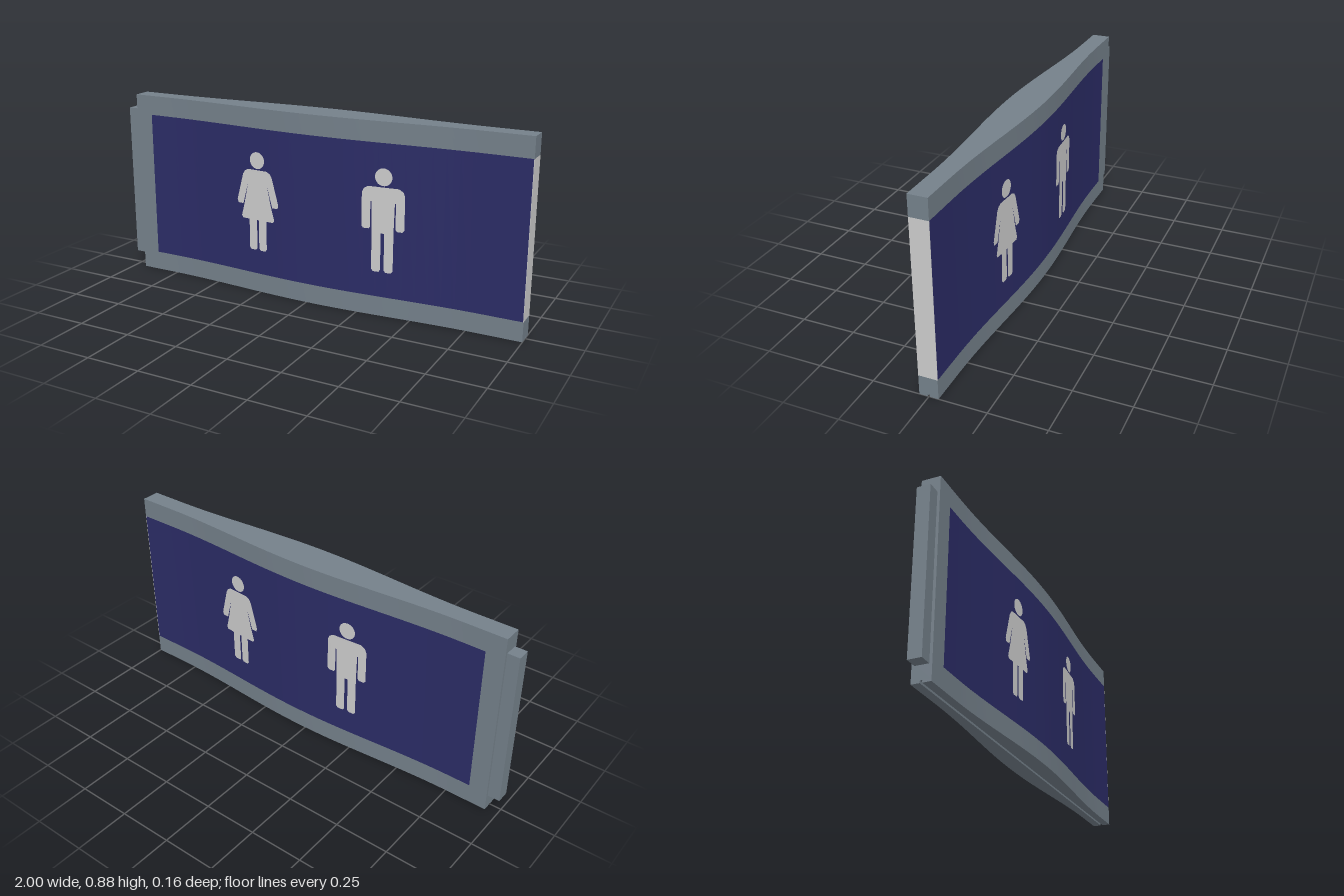
import * as THREE from 'three';
import { toCreasedNormals } from 'three/addons/utils/BufferGeometryUtils.js';

const X0 = -0.945, X1 = 1, H = 0.877;   // sign body extents
const PANEL_X = -0.86, PANEL_Y0 = 0.09, PANEL_Y1 = 0.785;

// half thickness of the body: flat at the ends, bulging in the middle
function halfDepth(x) {
  const u = Math.min(1, Math.abs(x - 0.0275) / 0.8);
  return 0.042 + 0.038 * (0.5 + 0.5 * Math.cos(Math.PI * u));
}

// vertical slab following the bulged outline between two lines of x
function slabGeometry(x0, x1, y0, y1, inner = null) {
  const n = Math.max(2, Math.round((x1 - x0) / 0.06));
  const front = [], back = [];
  for (let i = 0; i <= n; i++) {
    const x = x0 + (x1 - x0) * i / n;
    front.push(new THREE.Vector2(x, halfDepth(x)));
    back.unshift(new THREE.Vector2(x, inner === null ? -halfDepth(x) : inner));
  }
  const geo = new THREE.ExtrudeGeometry(new THREE.Shape([...front, ...back]),
    { depth: y1 - y0, bevelEnabled: false });
  geo.rotateX(-Math.PI / 2).translate(0, y0, 0);
  return toCreasedNormals(geo, 0.5);
}

// symmetric pictogram outline from its right half
function mirrored(half) {
  const pts = half.map(([x, y]) => new THREE.Vector2(x, y));
  const left = half.filter(([x]) => x > 0).reverse().map(([x, y]) => new THREE.Vector2(-x, y));
  return new THREE.Shape([...pts, ...left]);
}

const WOMAN = mirrored([[0, 0.592], [0.05, 0.592], [0.068, 0.583], [0.079, 0.565], [0.113, 0.44],
  [0.108, 0.424], [0.08, 0.424], [0.052, 0.525], [0.074, 0.424], [0.09, 0.365], [0.083, 0.354],
  [0.047, 0.354], [0.047, 0.217], [0.039, 0.207], [0.013, 0.207], [0.005, 0.217], [0.005, 0.354], [0, 0.354]]);
const MAN = mirrored([[0, 0.592], [0.07, 0.592], [0.09, 0.58], [0.098, 0.56], [0.098, 0.41],
  [0.09, 0.401], [0.065, 0.401], [0.058, 0.41], [0.058, 0.525], [0.053, 0.525], [0.05, 0.4],
  [0.05, 0.217], [0.041, 0.207], [0.016, 0.207], [0.008, 0.217], [0.008, 0.385], [0, 0.385]]);
const HEAD = new THREE.Shape().absarc(0, 0.637, 0.039, 0, Math.PI * 2);

// pictogram laid on the curved face; side is 1 for front, -1 for back
function figure(name, body, cx, side, material) {
  const group = new THREE.Group();
  group.name = name;
  for (const [part, shape] of [['head', HEAD], ['body', body]]) {
    const geo = new THREE.ShapeGeometry(shape, 20);
    if (side < 0) geo.rotateY(Math.PI);
    geo.translate(cx, 0, 0);
    const p = geo.attributes.position;
    for (let i = 0; i < p.count; i++) p.setZ(i, side * (halfDepth(p.getX(i)) + 0.003));
    geo.computeVertexNormals();
    const mesh = new THREE.Mesh(geo, material);
    mesh.name = part;
    group.add(mesh);
  }
  return group;
}

export function createModel() {
  const model = new THREE.Group();
  model.name = 'restroomSign';
  const make = (name, color) => {
    const m = new THREE.MeshStandardMaterial({ color });
    m.name = name;
    return m;
  };
  const grey = make('frameGrey', 0x74808a);
  const navy = make('panelNavy', 0x2b2c66);
  const white = make('paleGrey', 0xcccccc);

  const add = (name, geo, material) => {
    const mesh = new THREE.Mesh(geo, material);
    mesh.name = name;
    model.add(mesh);
    return mesh;
  };

  // frame: top rail, bottom rail with a narrow groove underneath, side stile
  add('topRail', slabGeometry(X0, X1, PANEL_Y1, H), grey);
  add('bottomRail', slabGeometry(X0, X1, 0.01, PANEL_Y0), grey);
  const lip = slabGeometry(X0, X1, 0, 0.01, 0.005);
  const backLip = lip.clone().rotateY(Math.PI).translate(X0 + X1, 0, 0);
  add('bottomLipBack', lip, grey);
  add('bottomLipFront', backLip, grey);
  add('sideStile', slabGeometry(X0, PANEL_X, PANEL_Y0, PANEL_Y1), grey);

  // coloured panel and its pale open end
  add('panel', slabGeometry(PANEL_X, X1 - 0.002, PANEL_Y0, PANEL_Y1), navy);
  const end = new THREE.BoxGeometry(0.002, PANEL_Y1 - PANEL_Y0, 2 * halfDepth(X1));
  add('panelEnd', end, white).position.set(X1 - 0.001, (PANEL_Y0 + PANEL_Y1) / 2, 0);

  // wall mount strip
  add('wallMount', new THREE.BoxGeometry(0.055, 0.735, 0.06), grey)
    .position.set(-0.9725, 0.4385, 0);

  // pictograms on both faces, in the same reading order
  for (const side of [1, -1]) {
    const label = side > 0 ? 'front' : 'back';
    const place = (x) => (side > 0 ? x : 0.14 - x);
    model.add(figure(label + 'WomanFigure', WOMAN, place(-0.257), side, white));
    model.add(figure(label + 'ManFigure', MAN, place(0.368), side, white));
  }
  return model;
}
